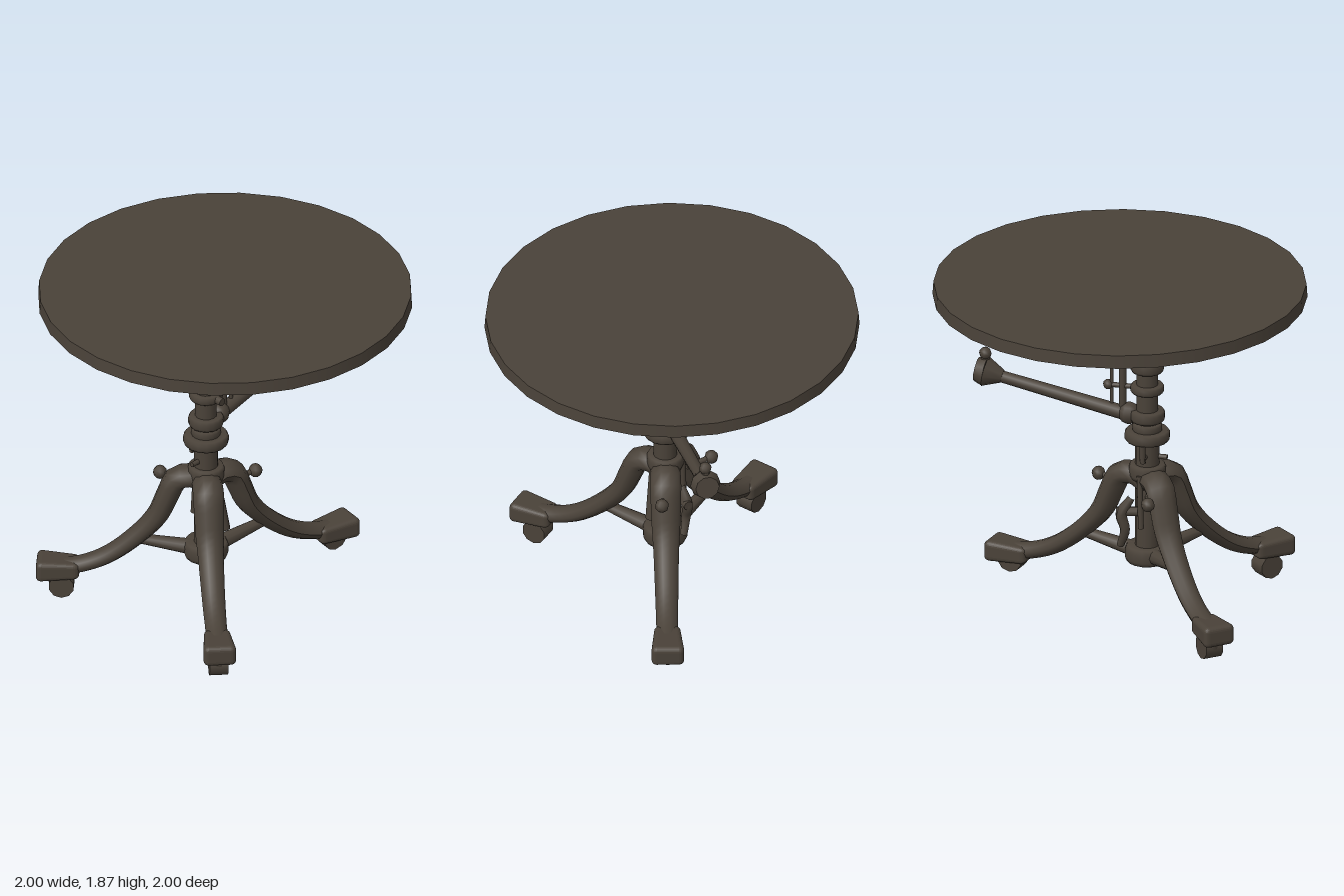
import * as THREE from 'three';
import { RoundedBoxGeometry } from 'three/addons/geometries/RoundedBoxGeometry.js';

const V = (x, y, z = 0) => new THREE.Vector3(x, y, z);

// Tube along points whose radius follows a list of values
function sweep(points, radii, sides = 10, steps = 24) {
  const curve = new THREE.CatmullRomCurve3(points);
  const geo = new THREE.TubeGeometry(curve, steps, 1, sides);
  const pos = geo.attributes.position, v = new THREE.Vector3();
  for (let i = 0; i < pos.count; i++) {
    const t = Math.floor(i / (sides + 1)) / steps;
    const c = curve.getPointAt(t), f = t * (radii.length - 1);
    const k = Math.min(Math.floor(f), radii.length - 2);
    const r = THREE.MathUtils.lerp(radii[k], radii[k + 1], f - k);
    v.fromBufferAttribute(pos, i).sub(c).multiplyScalar(r).add(c);
    pos.setXYZ(i, v.x, v.y, v.z);
  }
  geo.computeVertexNormals();
  return geo;
}

export function createModel() {
  const iron = new THREE.MeshStandardMaterial({ color: 0x4a4239 });
  iron.name = 'dark brown iron';
  const model = new THREE.Group();
  const add = (name, geo, parent = model, x = 0, y = 0, z = 0) => {
    const m = new THREE.Mesh(geo, iron);
    m.name = name;
    m.position.set(x, y, z);
    parent.add(m);
    return m;
  };
  // Straight round bar between two points
  const bar = (name, a, b, r0, r1 = r0, parent = model, sides = 10) => {
    const d = b.clone().sub(a);
    const m = add(name, new THREE.CylinderGeometry(r1, r0, d.length(), sides), parent);
    m.position.copy(a).addScaledVector(d, 0.5);
    m.quaternion.setFromUnitVectors(V(0, 1, 0), d.normalize());
    return m;
  };

  // Round top with a slightly domed underside
  const rim = [[0, 1.765], [0.35, 1.772], [0.97, 1.795]].map(p => new THREE.Vector2(...p));
  add('tableUnderside', new THREE.LatheGeometry(rim, 28));
  add('tableTop', new THREE.CylinderGeometry(0.995, 1, 0.072, 28), model, 0, 1.834, 0);

  // Gear housing beneath the top
  const profile = [[-0.27, 1.78], [-0.28, 1.7], [-0.26, 1.64], [-0.21, 1.61],
    [0.33, 1.61], [0.36, 1.64], [0.36, 1.69], [0.28, 1.78]];
  const housing = new THREE.ExtrudeGeometry(new THREE.Shape(profile.map(p => new THREE.Vector2(...p))),
    { depth: 0.28, bevelSize: 0.04, bevelThickness: 0.045, bevelSegments: 3 });
  housing.translate(0, 0, -0.14);
  // Keep the bevel beneath the top surface
  const hp = housing.attributes.position;
  for (let i = 0; i < hp.count; i++) hp.setY(i, Math.min(hp.getY(i), 1.8));
  add('gearHousing', housing);
  add('housingKnob', new THREE.SphereGeometry(0.09, 10, 8), model, 0.425, 1.635, 0).scale.set(0.9, 0.95, 1.05);

  // Turned column with collars
  const column = new THREE.Group();
  column.name = 'column';
  column.position.x = -0.15;
  model.add(column);
  add('lowerPost', new THREE.CylinderGeometry(0.065, 0.065, 0.74, 14), column, 0, 0.67, 0);
  add('upperPost', new THREE.CylinderGeometry(0.058, 0.058, 0.6, 14), column, 0, 1.3, 0);
  const collars = [[0.325, 0.12, 0.09], [0.8, 0.1, 0.08], [1.005, 0.122, 0.06], [1.05, 0.08, 0.05],
    [1.12, 0.095, 0.06], [1.275, 0.09, 0.045], [1.405, 0.09, 0.06], [1.54, 0.08, 0.07]];
  for (const [y, r, h] of collars) {
    const ring = [[r * 0.5, -h / 2], [r * 0.92, -h / 2], [r, -h / 4], [r, h / 4], [r * 0.92, h / 2], [r * 0.5, h / 2]];
    add('collar', new THREE.LatheGeometry(ring.map(p => new THREE.Vector2(...p)), 16), column, 0, y, 0);
  }

  // Three curved legs with feet, casters and braces
  const legs = [['frontLeg', 13, 1.04, 0.07], ['rightLeg', 132, 1, 0], ['backLeg', 230.5, 1, 0.01]];
  for (const [name, degrees, stretch, lift] of legs) {
    const leg = new THREE.Group();
    leg.name = name;
    leg.rotation.y = -THREE.MathUtils.degToRad(degrees);
    leg.scale.x = stretch;
    column.add(leg);
    const path = [V(0, 0.73), V(0.07, 0.77), V(0.155, 0.75), V(0.2, 0.66), V(0.26, 0.52),
      V(0.38, 0.38), V(0.53, 0.26), V(0.67, 0.2), V(0.8, 0.18)];
    const limb = add('limb', sweep(path, [0.06, 0.064, 0.06, 0.052, 0.048, 0.045, 0.045]), leg);
    limb.scale.z = 1.3;
    const foot = new RoundedBoxGeometry(0.23, 0.12, 0.18, 3, 0.03);
    const p = foot.attributes.position;
    for (let i = 0; i < p.count; i++) {
      const t = (p.getX(i) + 0.115) / 0.23;
      p.setZ(i, p.getZ(i) * (0.75 + 0.25 * t));
      p.setY(i, p.getY(i) * (0.75 + 0.25 * t));
    }
    foot.computeVertexNormals();
    add('foot', foot, leg, 0.79, 0.178, 0);
    const wheel = new THREE.CylinderGeometry(0.068, 0.068, 0.1, 10);
    wheel.rotateX(Math.PI / 2);
    add('casterWheel', wheel, leg, 0.77, 0.07 + lift, 0);
    add('casterFork', new THREE.CylinderGeometry(0.05, 0.04, 0.07, 8), leg, 0.8, 0.115, 0);
    bar('brace', V(0.06, 0.325), V(0.4, 0.375), 0.045, 0.025, leg);
  }

  // Clamp screws beside the leg tops
  for (const [x, z] of [[0.14, 0.09], [-0.22, -0.27]]) {
    const d = V(x + 0.15, 0, z).normalize();
    bar('clampScrew', V(x, 0.7, z).addScaledVector(d, -0.15), V(x, 0.715, z), 0.015);
    add('clampKnob', new THREE.SphereGeometry(0.038, 8, 6), model, x, 0.715, z);
  }

  // Crank arm with its weighted end and handle
  add('armHub', new THREE.SphereGeometry(0.06, 10, 8), model, -0.05, 1.12, 0);
  bar('crankArm', V(-0.06, 1.11), V(0.68, 1.265), 0.04, 0.032);
  bar('crankFlare', V(0.645, 1.26), V(0.74, 1.28), 0.035, 0.082);
  bar('crankEnd', V(0.74, 1.28), V(0.79, 1.288), 0.082, 0.065);
  bar('handleStem', V(0.74, 1.32), V(0.74, 1.39), 0.025, 0.022);
  add('handleKnob', new THREE.SphereGeometry(0.034, 8, 6), model, 0.74, 1.385, 0);

  // Thin control rods and a small locking screw
  bar('controlRod', V(-0.015, 1.14), V(-0.015, 1.6), 0.02);
  bar('controlRod', V(0.045, 1.17), V(0.045, 1.6), 0.01);
  bar('sideRod', V(-0.09, 1.32, 0.08), V(-0.07, 1.6, 0.095), 0.01);
  bar('lockScrew', V(-0.1, 1.275), V(0.06, 1.275), 0.014);
  add('lockKnob', new THREE.SphereGeometry(0.028, 8, 6), model, 0.065, 1.275, 0);
  bar('sideScrew', V(-0.15, 1.275), V(-0.15, 1.275, 0.12), 0.022);

  // Small levers and linkage around the lower post
  bar('postLever', V(-0.15, 0.885), V(-0.26, 0.885), 0.014);
  bar('backLever', V(-0.15, 0.9), V(-0.15, 0.9, -0.11), 0.016);
  bar('backLeverGrip', V(-0.15, 0.88, -0.1), V(-0.15, 0.98, -0.105), 0.016);
  bar('linkRod', V(-0.14, 0.78, 0.07), V(-0.1, 0.46, 0.09), 0.018, 0.03);
  const hook = [V(-0.08, 0.66, -0.07), V(-0.03, 0.57, -0.09), V(-0.05, 0.48, -0.09), V(-0.02, 0.38, -0.07)];
  add('pedalHook', sweep(hook, [0.02, 0.032, 0.026, 0.02], 8, 14));
  bar('pedalPin', V(-0.12, 0.58, -0.06), V(0, 0.58, -0.09), 0.026);
  bar('backLink', V(-0.13, 0.8, -0.09), V(-0.14, 0.5, -0.1), 0.016);

  return model;
}
